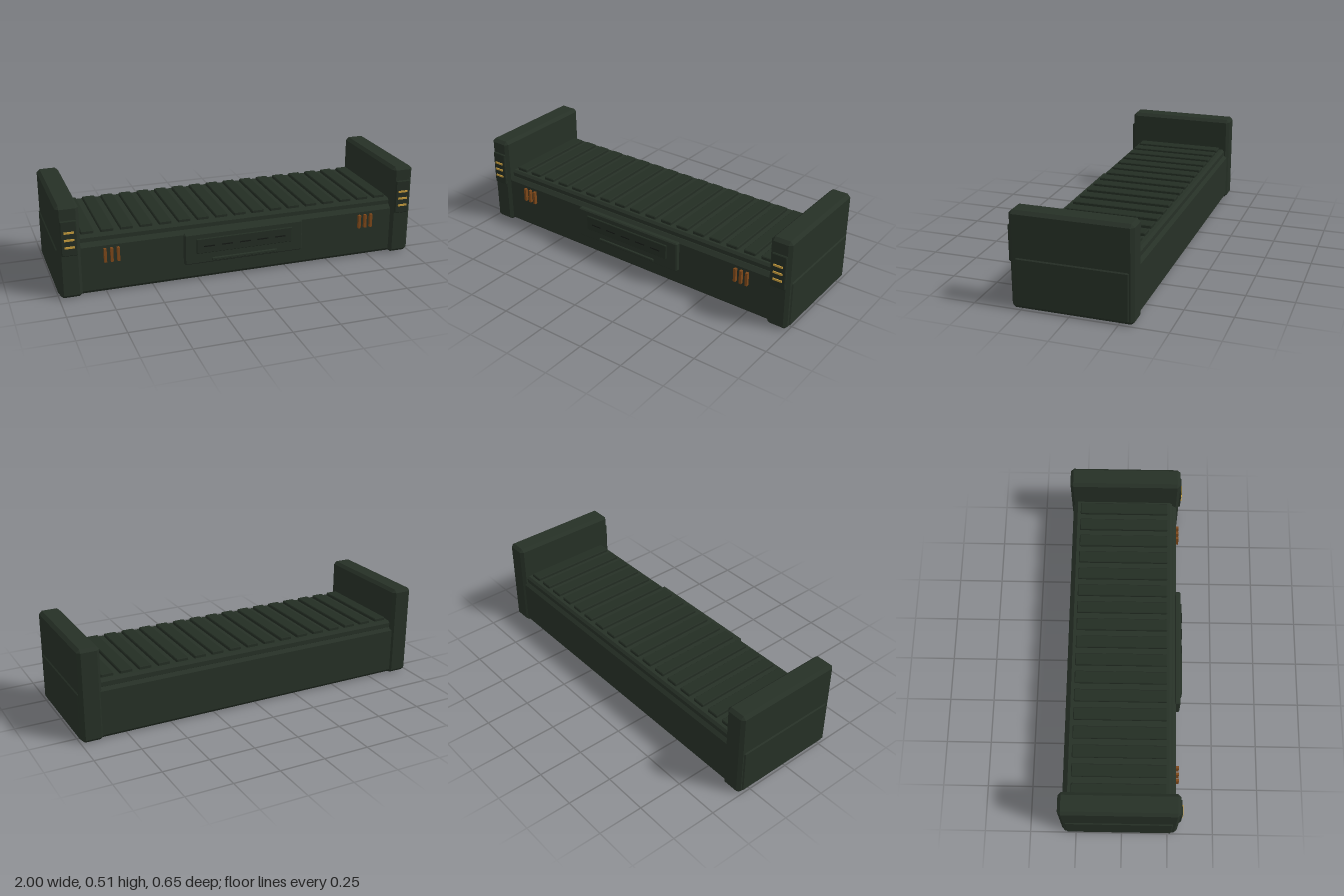
import * as THREE from 'three';
import { ConvexGeometry } from 'three/addons/geometries/ConvexGeometry.js';

function material(name, color) {
  const m = new THREE.MeshStandardMaterial({ color });
  m.name = name;
  return m;
}

// Box with all edges cut at 45 degrees, given by its extents
function chamferBox(x0, x1, y0, y1, z0, z1, c) {
  const half = [(x1 - x0) / 2, (y1 - y0) / 2, (z1 - z0) / 2];
  const points = [];
  for (const sx of [-1, 1]) for (const sy of [-1, 1]) for (const sz of [-1, 1]) {
    for (let full = 0; full < 3; full++) {
      const p = half.map((h, i) => (i === full ? h : h - c));
      points.push(new THREE.Vector3(p[0] * sx, p[1] * sy, p[2] * sz));
    }
  }
  const geometry = new ConvexGeometry(points);
  geometry.translate((x0 + x1) / 2, (y0 + y1) / 2, (z0 + z1) / 2);
  return geometry;
}

export function createModel() {
  const model = new THREE.Group();
  model.name = 'conveyor';
  const green = material('dark green', 0x263026);
  const slatGreen = material('slat green', 0x232d23);
  const black = material('near black', 0x141814);
  const yellow = material('amber yellow', 0xc49a3c);
  const orange = material('rust orange', 0x7d4719);

  function add(name, mat, x0, x1, y0, y1, z0, z1, c = 0) {
    const geometry = c > 0
      ? chamferBox(x0, x1, y0, y1, z0, z1, c)
      : new THREE.BoxGeometry(x1 - x0, y1 - y0, z1 - z0)
        .translate((x0 + x1) / 2, (y0 + y1) / 2, (z0 + z1) / 2);
    const mesh = new THREE.Mesh(geometry, mat);
    mesh.name = name;
    model.add(mesh);
  }

  // Main body and the raised bed between the end walls
  add('body', green, -1, 1, 0.002, 0.284, -0.316, 0.287, 0.02);
  add('bed', green, -0.89, 0.89, 0.27, 0.318, -0.3, 0.262, 0.012);

  // Slats across the bed
  for (let i = -8; i <= 8; i++) {
    const x = i * 0.1035;
    add('slat', slatGreen, x - 0.034, x + 0.034, 0.312, 0.335, -0.27, 0.236, 0.004);
  }

  // End walls, each with a lamp plate, and the vents beside them
  for (const s of [-1, 1]) {
    const x = s * 0.935;
    add('endWall', green, x - 0.059, x + 0.059, 0, 0.508, -0.325, 0.303, 0.017);
    add('lampPlate', slatGreen, x - 0.042, x + 0.042, 0.24, 0.43, 0.295, 0.313, 0.004);
    for (const y of [0.288, 0.328, 0.368]) {
      add('lamp', yellow, x - 0.026, x + 0.026, y - 0.005, y + 0.005, 0.31, 0.319);
    }
    for (let i = -1; i <= 1; i++) {
      const vx = s * 0.782 + (i - s) * 0.0345 + s * 0.0345 - s * 0.064;
      add('vent', orange, vx - 0.007, vx + 0.007, 0.175, 0.25, 0.284, 0.304);
    }
  }

  // Control panel on the front
  add('controlPanel', green, -0.333, 0.333, 0.1, 0.272, 0.28, 0.313, 0.006);
  add('display', slatGreen, -0.27, 0.27, 0.16, 0.243, 0.308, 0.321, 0.003);
  add('handle', green, -0.185, 0.185, 0.112, 0.128, 0.308, 0.323, 0.003);
  for (let i = -2; i <= 2; i++) {
    add('displayDash', black, i * 0.1 - 0.03, i * 0.1 + 0.03, 0.197, 0.203, 0.319, 0.325);
  }
  return model;
}
